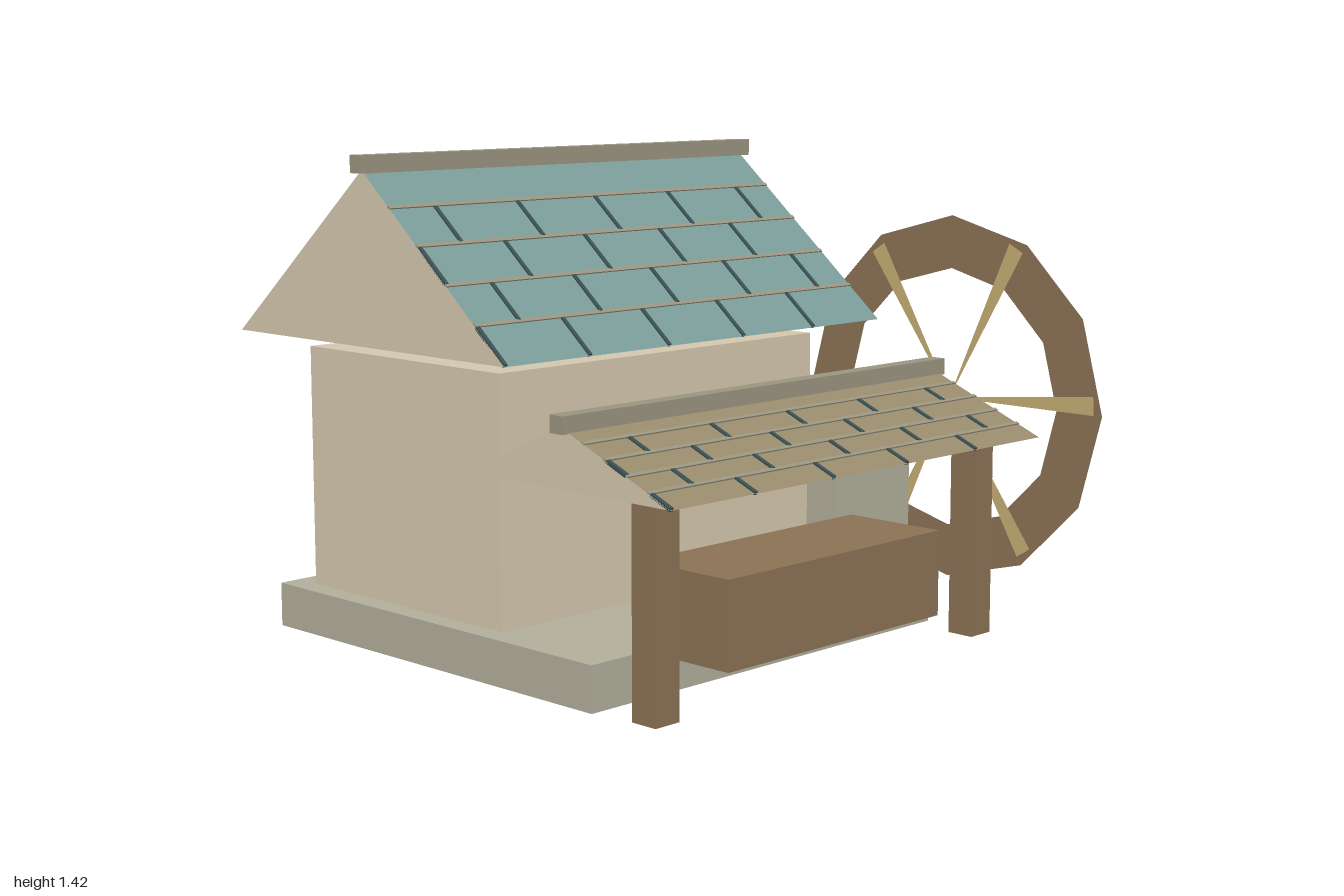
import * as THREE from 'three';

const mat = (color, side = THREE.FrontSide) =>
  new THREE.MeshStandardMaterial({ color, side, flatShading: true });

const plaster = mat(0xd3c7ae);
const stone = mat(0xb1ae9b);
const wood = mat(0x8b7155);
const ridgeMat = mat(0x9a947f);
const slate = mat(0x7a9c9a);
const thatch = mat(0x988a6c);
const jointMat = mat(0x3a5052);
const wheelMat = mat(0x8b7155, THREE.DoubleSide);
const spokeMat = mat(0xc6ad74, THREE.DoubleSide);

// Box given by its extents on each axis
function box(parent, name, material, [x0, x1], [y0, y1], [z0, z1]) {
  const mesh = new THREE.Mesh(new THREE.BoxGeometry(x1 - x0, y1 - y0, z1 - z0), material);
  mesh.position.set((x0 + x1) / 2, (y0 + y1) / 2, (z0 + z1) / 2);
  mesh.name = name;
  parent.add(mesh);
  return mesh;
}

const ROOF_X0 = -0.98, ROOF_X1 = 0.535;

// Gabled roof: prism with plaster gables, tile courses on the front slope, ridge beam
function gableRoof(name, roofMat, { z, eave, ridge, half, beam }) {
  const roof = new THREE.Group();
  roof.name = name;
  const length = ROOF_X1 - ROOF_X0;
  const rise = ridge - eave;

  const shape = new THREE.Shape([
    new THREE.Vector2(-half, 0), new THREE.Vector2(half, 0), new THREE.Vector2(0, rise),
  ]);
  const geo = new THREE.ExtrudeGeometry(shape, { depth: length, bevelEnabled: false });
  geo.rotateY(Math.PI / 2);
  const prism = new THREE.Mesh(geo, [plaster, roofMat]);
  prism.position.set(ROOF_X0, eave, z);
  prism.name = 'roofBody';
  roof.add(prism);

  // Local +z runs down the front slope from the ridge
  const courses = new THREE.Group();
  courses.name = 'tileCourses';
  courses.position.set(0, ridge, z);
  courses.rotation.x = Math.atan2(rise, half);
  roof.add(courses);
  const row = Math.hypot(rise, half) / 5;
  const pitch = length / 5;
  for (let i = 1; i <= 4; i++) {
    box(courses, 'courseStrip', ridgeMat, [ROOF_X0, ROOF_X1], [-0.004, 0.004],
      [i * row - 0.006, i * row + 0.006]);
    for (let j = 0; j < 5; j++) {
      const x = ROOF_X0 + 0.006 + (j + (i % 2) / 2) * pitch;
      box(courses, 'tileJoint', jointMat, [x - 0.006, x + 0.006], [-0.005, 0.005],
        [i * row + 0.006, (i + 1) * row - 0.003]);
    }
  }

  box(roof, 'ridgeBeam', ridgeMat, [-1, 0.555], beam, [z - 0.025, z + 0.025]);
  return roof;
}

// Flat twelve-sided water wheel with six tapering spokes
function waterWheel() {
  const wheel = new THREE.Group();
  wheel.name = 'waterWheel';
  const rim = new THREE.Mesh(new THREE.RingGeometry(0.42, 0.59, 12, 1), wheelMat);
  rim.name = 'wheelRim';
  wheel.add(rim);
  const width = Math.PI / 30;
  for (let k = 0; k < 6; k++) {
    const spoke = new THREE.Mesh(
      new THREE.CircleGeometry(0.56, 1, k * Math.PI / 3 - width, width), spokeMat);
    spoke.position.z = -0.002;
    spoke.name = 'wheelSpoke';
    wheel.add(spoke);
  }
  wheel.rotation.y = Math.PI / 2;
  wheel.position.set(1, 0.59, 0.2);
  return wheel;
}

export function createModel() {
  const model = new THREE.Group();
  model.name = 'watermill';

  // House
  box(model, 'foundation', stone, [-0.92, 0.475], [0, 0.13], [-0.81, 0.54]);
  box(model, 'houseWalls', plaster, [-0.855, 0.41], [0.13, 0.845], [-0.725, 0.115]);
  box(model, 'wheelSupport', stone, [0.4, 0.745], [0, 0.635], [-0.095, 0.24]);
  model.add(gableRoof('mainRoof', slate,
    { z: -0.305, eave: 0.89, ridge: 1.38, half: 0.585, beam: [1.372, 1.422] }));

  // Porch
  model.add(gableRoof('porchRoof', thatch,
    { z: 0.5, eave: 0.595, ridge: 0.755, half: 0.39, beam: [0.742, 0.79] }));
  for (const x of [-0.9, 0.408]) {
    box(model, 'porchPost', wood, [x, x + 0.087], [0, 0.6], [0.67, 0.755]);
  }
  box(model, 'counter', wood, [-0.62, 0.26], [0.09, 0.34], [0.415, 0.745]);

  model.add(waterWheel());
  return model;
}
